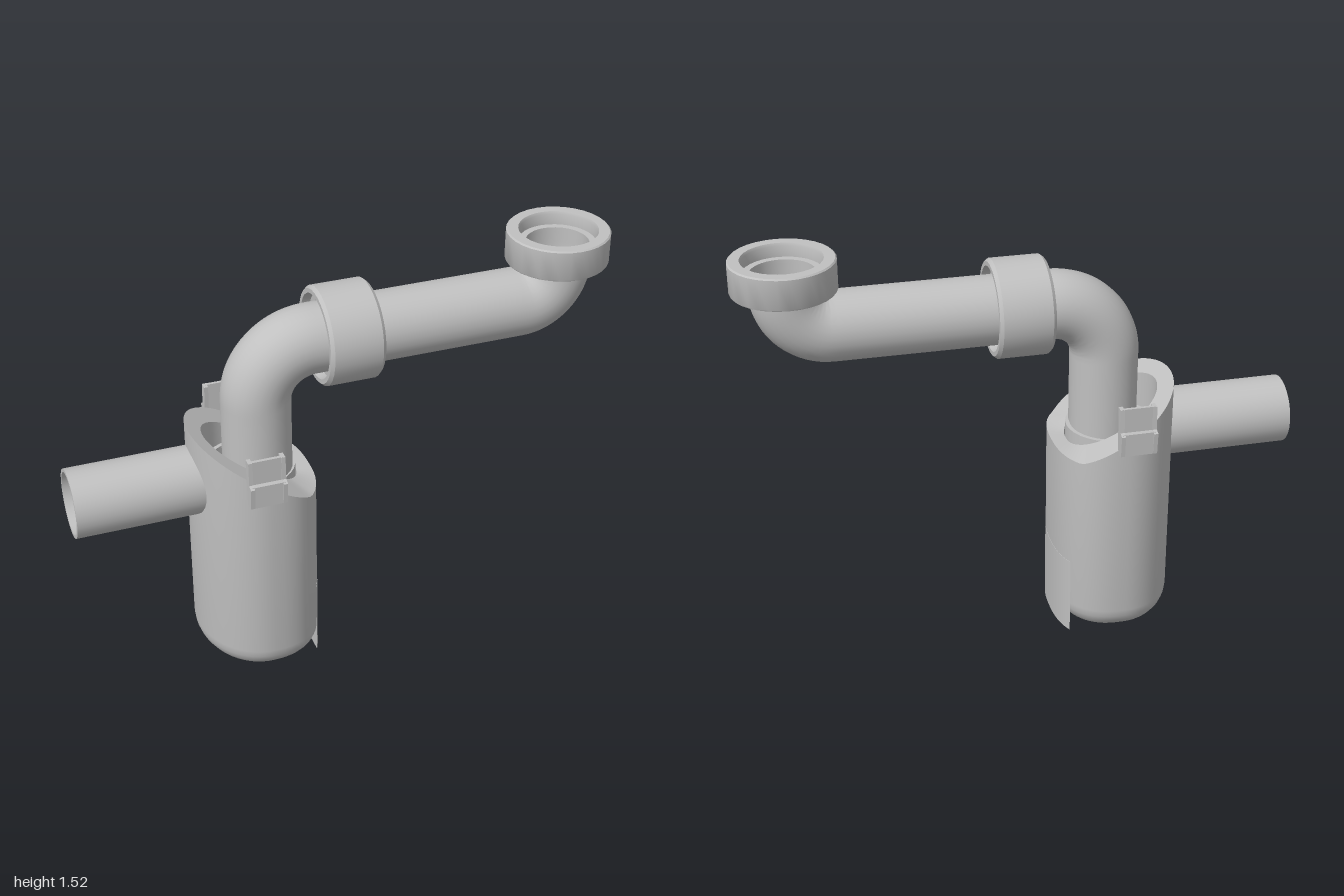
import * as THREE from 'three';
import { toCreasedNormals } from 'three/addons/utils/BufferGeometryUtils.js';

const plastic = new THREE.MeshStandardMaterial({ color: 0xc0c0c0, side: THREE.DoubleSide });
plastic.name = 'grey plastic';

const V = (x, y, z) => new THREE.Vector3(x, y, z);
const CX = -0.343;      // centre of the cup
const PZ = 0.025;       // the inlet pipe sits a little in front of the cup's centre

function part(name, geometry, crease = 0.6) {
  const mesh = new THREE.Mesh(toCreasedNormals(geometry, crease), plastic);
  mesh.name = name;
  return mesh;
}

function lathe(name, profile, segments = 32) {
  return part(name, new THREE.LatheGeometry(profile.map(p => new THREE.Vector2(...p)), segments));
}

// Oval cup outline, squarer on its +x side
function outline(t, scale = 1) {
  const c = Math.cos(t), s = Math.sin(t), e = c > 0 ? 0.8 : 1;
  return [CX + Math.sign(c) * 0.222 * scale * Math.abs(c) ** e, Math.sign(s) * 0.27 * scale * Math.abs(s) ** e];
}
const rimY = x => Math.max(0.73, 0.965 - 0.61 * (x + 0.565));

// Cup: rounded floor, straight wall, slanted rim, round well
function cupGeometry() {
  const N = 64, pos = [], idx = [], rows = [];
  rows.push(t => [CX, 0.02, 0]);
  for (let k = 0; k <= 6; k++) {
    const a = k / 6 * Math.PI / 2;
    rows.push(t => {
      const [x, z] = outline(t, 1 - 0.4 * (1 - Math.sin(a)));
      return [x, 0.02 + 0.1 * (1 - Math.cos(a)), z];
    });
  }
  rows.push(t => { const [x, z] = outline(t); return [x, rimY(x), z]; });
  const well = t => [CX + 0.168 * Math.cos(t), 0.168 * Math.sin(t)];
  rows.push(t => { const [x, z] = well(t); return [x, rimY(x), z]; });
  rows.push(t => { const [x, z] = well(t); return [x, 0.6, z]; });
  rows.push(t => [CX, 0.6, 0]);
  for (const row of rows) for (let j = 0; j < N; j++) pos.push(...row(j / N * Math.PI * 2));
  for (let i = 0; i < rows.length - 1; i++) for (let j = 0; j < N; j++) {
    const a = i * N + j, b = i * N + (j + 1) % N;
    if (i < rows.length - 2) idx.push(a, a + N, b + N);
    if (i > 0) idx.push(a, b + N, b);
  }
  const g = new THREE.BufferGeometry();
  g.setAttribute('position', new THREE.Float32BufferAttribute(pos, 3));
  g.setIndex(idx);
  g.computeVertexNormals();
  return g;
}

// Curved flange hanging below the cup on its +x side
function flangeGeometry() {
  const s = new THREE.Shape(), pts = [];
  for (let k = -12; k <= 12; k++) {
    const [x, z] = outline(k / 12 * 0.62, 1.004);
    pts.push(new THREE.Vector2(x, -z));
  }
  s.setFromPoints(pts);
  const g = new THREE.ExtrudeGeometry(s, { depth: 0.3, bevelEnabled: false });
  return g.rotateX(-Math.PI / 2);
}

// Quarter bend whose corner is at p, from direction a into direction b
function bend(p, a, b, r) {
  const k = r * (1 - 0.5523);
  return new THREE.CubicBezierCurve3(
    p.clone().addScaledVector(a, -r), p.clone().addScaledVector(a, -k),
    p.clone().addScaledVector(b, k), p.clone().addScaledVector(b, r));
}

function pipePath() {
  const up = V(0, 1, 0), right = V(1, 0, 0), path = new THREE.CurvePath();
  const b1 = bend(V(-0.32, 1.258, PZ), up, right, 0.2);
  const b2 = bend(V(0.81, 1.258, PZ), right, up, 0.15);
  path.add(new THREE.LineCurve3(V(-0.32, 0.61, PZ), b1.v0));
  path.add(b1);
  path.add(new THREE.LineCurve3(b1.v3, b2.v0));
  path.add(b2);
  path.add(new THREE.LineCurve3(b2.v3, V(0.81, 1.47, PZ)));
  return path;
}

// Snap clip: two shaped ribs joined by thin panels
function clip(side) {
  const group = new THREE.Group();
  group.name = side > 0 ? 'frontClip' : 'backClip';
  const profile = [[0.262, 0.785], [0.298, 0.79], [0.304, 0.87], [0.284, 0.878],
    [0.28, 0.965], [0.25, 0.965], [0.256, 0.87]];
  const shape = new THREE.Shape(profile.map(([z, y]) => new THREE.Vector2(z * side, y)));
  for (const x of [-0.43, -0.312]) {
    const g = new THREE.ExtrudeGeometry(shape, { depth: 0.015, bevelEnabled: false });
    g.rotateY(-Math.PI / 2);
    g.translate(x + 0.015, 0, 0);
    group.add(part('clipRib', g));
  }
  const panel = (name, h, d, y, z) => {
    const m = part(name, new THREE.BoxGeometry(0.12, h, d));
    m.position.set(-0.363, y, z * side);
    group.add(m);
  };
  panel('clipHook', 0.085, 0.03, 0.832, 0.282);
  panel('clipTab', 0.095, 0.012, 0.918, 0.272);
  return group;
}

export function createModel() {
  const model = new THREE.Group();
  model.name = 'sinkTrap';

  model.add(part('cup', cupGeometry()));
  model.add(part('cupFlange', flangeGeometry()));

  // Sleeve lining the well
  const sleeve = lathe('sleeve', [[0.165, 0.6], [0.165, 0.78], [0.15, 0.78], [0.15, 0.6]]);
  sleeve.position.x = CX;
  model.add(sleeve);

  // Outlet pipe, open at its far end
  const outlet = lathe('outletPipe', [[0.125, 0], [0.125, 0.48], [0.113, 0.48], [0.113, 0]]);
  outlet.rotation.z = Math.PI / 2;
  outlet.position.set(-0.52, 0.755, 0);
  model.add(outlet);

  // Inlet pipe with its inner wall
  const path = pipePath();
  model.add(part('inletPipe', new THREE.TubeGeometry(path, 130, 0.125, 28)));
  model.add(part('inletPipeLining', new THREE.TubeGeometry(path, 130, 0.113, 28)));

  // Coupling nut in the middle, recessed around the pipe at both ends
  const half = [[0.124, 0.07], [0.147, 0.07], [0.152, 0.1], [0.168, 0.1], [0.178, 0.088]];
  const coupling = lathe('couplingNut', [...half.map(([r, y]) => [r, -y]), ...half.slice().reverse()]);
  coupling.rotation.z = -Math.PI / 2;
  coupling.position.set(0, 1.262, PZ);
  model.add(coupling);

  // Inlet nut at the top, open and stepped inside
  const nut = lathe('inletNut', [[0.124, 1.44], [0.148, 1.43], [0.152, 1.405], [0.182, 1.405], [0.185, 1.41],
    [0.185, 1.515], [0.18, 1.52], [0.142, 1.52], [0.138, 1.51], [0.138, 1.47], [0.113, 1.47]]);
  nut.position.set(0.812, 0, PZ);
  model.add(nut);

  for (const side of [1, -1]) model.add(clip(side));
  return model;
}
